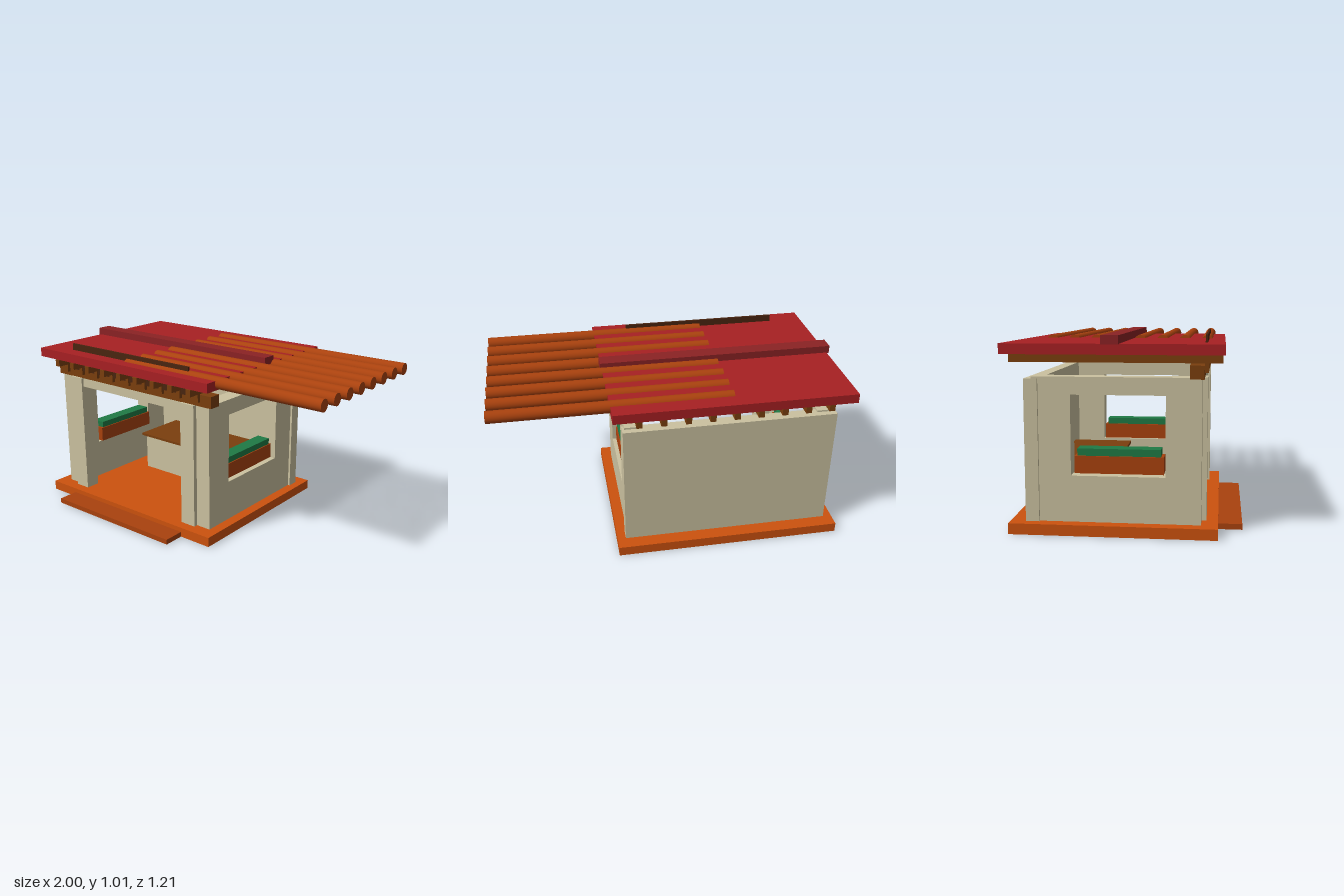
import * as THREE from 'three';

const mat = (name, color) => {
  const m = new THREE.MeshStandardMaterial({ color });
  m.name = name;
  return m;
};

export function createModel() {
  const model = new THREE.Group();
  model.name = 'pavilion';
  const plaster = mat('plaster', 0xcbc2a0);
  const floorOrange = mat('floorOrange', 0xcc520e);
  const logOrange = mat('logOrange', 0xaa420e);
  const roofRed = mat('roofRed', 0xa82023);
  const ridgeRed = mat('ridgeRed', 0x8b2224);
  const timber = mat('timber', 0x7b3f0e);
  const darkWood = mat('darkWood', 0x4a2510);
  const green = mat('cushionGreen', 0x1f7a45);

  // Box given by its extents on each axis
  const box = (name, material, x0, x1, y0, y1, z0, z1) => {
    const m = new THREE.Mesh(new THREE.BoxGeometry(x1 - x0, y1 - y0, z1 - z0), material);
    m.position.set((x0 + x1) / 2, (y0 + y1) / 2, (z0 + z1) / 2);
    m.name = name;
    model.add(m);
    return m;
  };

  // The house is symmetric about this x
  const cx = -0.316;
  // Box mirrored about the house centre, a..b is the distance outwards
  const pair = (name, material, a, b, ...rest) => {
    box(name + 'Left', material, cx + a, cx + b, ...rest);
    box(name + 'Right', material, cx - b, cx - a, ...rest);
  };

  // Base
  box('floor', floorOrange, -0.975, 0.34, 0, 0.057, -0.58, 0.48);
  box('step', logOrange, -0.775, 0.135, 0, 0.03, 0.48, 0.605);

  // Side walls with a window opening; shape x runs along -z
  const wall = new THREE.Shape([
    [-0.395, 0.057], [0.465, 0.057], [0.465, 0.8], [-0.395, 0.8],
  ].map(p => new THREE.Vector2(...p)));
  wall.holes.push(new THREE.Path([
    [-0.215, 0.297], [-0.215, 0.71], [0.265, 0.71], [0.265, 0.297],
  ].map(p => new THREE.Vector2(...p))));
  const wallGeo = new THREE.ExtrudeGeometry(wall, { depth: 0.095, bevelEnabled: false });
  wallGeo.rotateY(Math.PI / 2);
  for (const [name, x] of [['sideWallLeft', cx + 0.5], ['sideWallRight', cx - 0.595]]) {
    const m = new THREE.Mesh(wallGeo, plaster);
    m.position.x = x;
    m.name = name;
    model.add(m);
  }

  // Back wall, front posts and lintel
  box('backWall', plaster, cx - 0.608, cx + 0.608, 0.057, 0.79, -0.5, -0.43);
  pair('frontPost', plaster, 0.405, 0.503, 0.057, 0.795, 0.33, 0.42);
  box('lintel', plaster, cx - 0.405, cx + 0.405, 0.74, 0.798, 0.34, 0.405);

  // Counter against the back wall
  box('counterBase', plaster, -0.675, 0.035, 0.057, 0.29, -0.43, -0.1);
  box('counterTop', timber, -0.695, 0.06, 0.29, 0.305, -0.43, -0.075);

  // Window seats and cushions
  pair('windowSeat', logOrange, 0.475, 0.572, 0.305, 0.395, -0.25, 0.205);
  pair('cushion', green, 0.482, 0.565, 0.395, 0.432, -0.237, 0.19);

  // Front beam, rafters and their brackets
  box('frontBeam', timber, -0.935, 0.3, 0.794, 0.862, 0.333, 0.405);
  for (let i = 0; i < 9; i++) {
    const x = -0.848 + i * 0.1325;
    box('rafter', timber, x - 0.016, x + 0.016, 0.868, 0.908, -0.59, 0.495);
    box('bracket', timber, x - 0.012, x + 0.012, 0.82, 0.868, 0.405, 0.425);
  }

  // Roof, ridge bar and the board rising through the roof
  box('roof', roofRed, -0.986, 0.354, 0.915, 0.968, -0.605, 0.505);
  box('ridge', ridgeRed, -1, 0.364, 0.965, 1.01, -0.095, -0.008);
  box('frontBoard', darkWood, -0.785, 0.15, 0.845, 1.008, 0.405, 0.417);

  // Row of logs reaching out over the left side
  const logGeo = new THREE.CylinderGeometry(0.034, 0.034, 1.32, 24);
  logGeo.rotateZ(Math.PI / 2);
  for (let i = 0; i < 8; i++) {
    const log = new THREE.Mesh(logGeo, logOrange);
    log.position.set(0.34, 0.952, 0.405 - i * 0.1265);
    log.name = 'roofLog';
    model.add(log);
  }
  return model;
}
